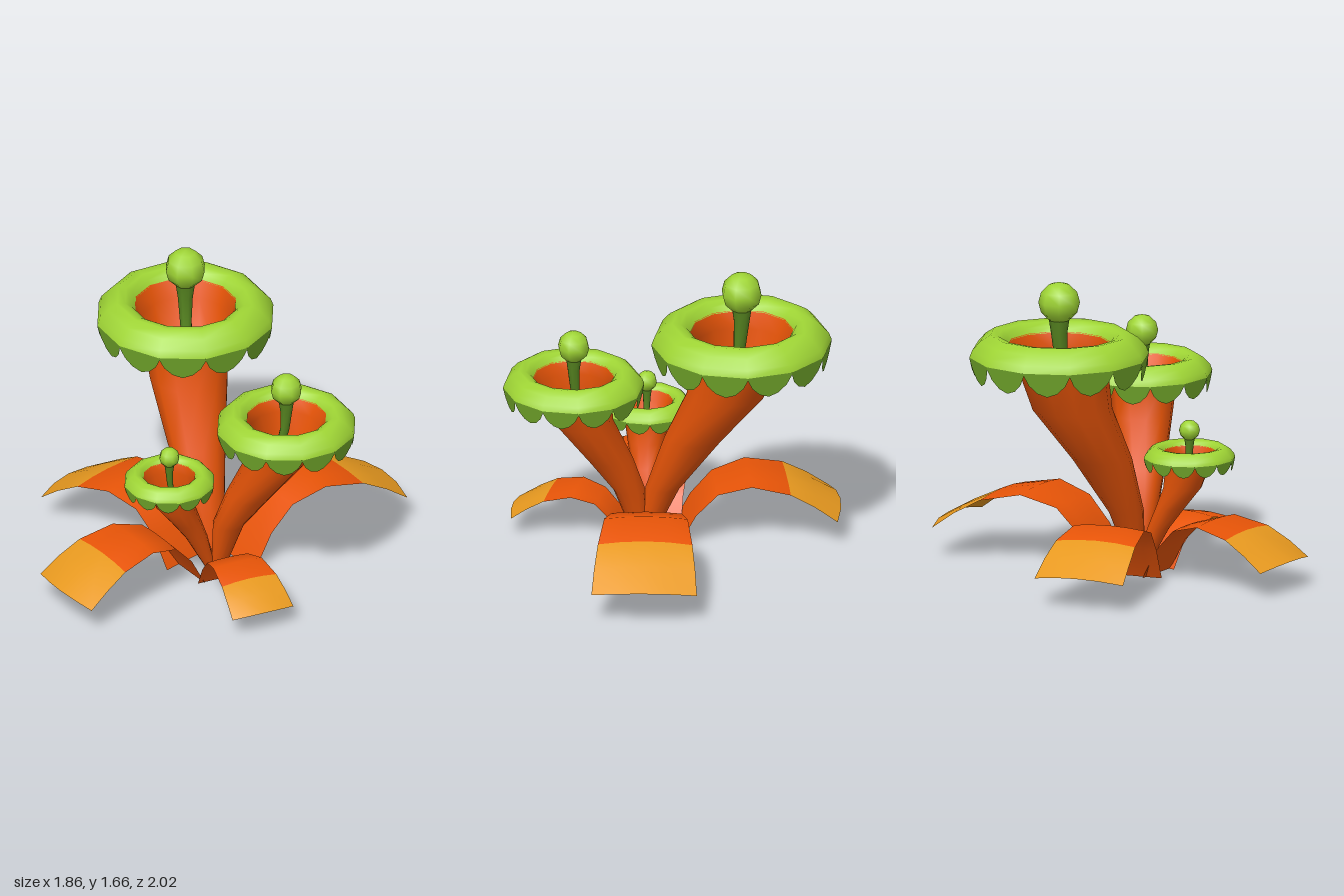
import * as THREE from 'three';

const mat = (name, color) => {
  const m = new THREE.MeshStandardMaterial({ color, side: THREE.DoubleSide });
  m.name = name;
  return m;
};

function surface(positions, index) {
  const g = new THREE.BufferGeometry();
  g.setAttribute('position', new THREE.Float32BufferAttribute(positions, 3));
  g.setIndex(index);
  g.computeVertexNormals();
  return g;
}

// Skin over level rings given as [x, y, z, radius]
function loft(rings, sides, phase = 0) {
  const pos = [], idx = [];
  rings.forEach(([x, y, z, r], j) => {
    for (let i = 0; i < sides; i++) {
      const t = phase + (i / sides) * Math.PI * 2;
      pos.push(x + r * Math.sin(t), y, z + r * Math.cos(t));
      if (j === 0) continue;
      const n = (i + 1) % sides, a = (j - 1) * sides, b = j * sides;
      idx.push(a + i, a + n, b + n, a + i, b + n, b + i);
    }
  });
  return surface(pos, idx);
}

// Scalloped hem hanging from the rim of a cap
function hem([x, y, z], R, sides, phase) {
  const pos = [], idx = [];
  const steps = [[0, 0.03], [0.1, 0.14], [0.28, 0.23], [0.5, 0.27], [0.72, 0.23], [0.9, 0.14], [1, 0.03]];
  for (let i = 0; i < sides; i++) {
    const t0 = phase + (i / sides) * Math.PI * 2, t1 = t0 + (Math.PI * 2) / sides;
    steps.forEach(([f, depth], k) => {
      const px = THREE.MathUtils.lerp(Math.sin(t0), Math.sin(t1), f) * R;
      const pz = THREE.MathUtils.lerp(Math.cos(t0), Math.cos(t1), f) * R;
      const s = 1 - depth * 0.15;
      const a = pos.length / 3;
      pos.push(x + px, y - 0.25 * R, z + pz, x + px * s, y - (0.25 + depth) * R, z + pz * s);
      if (k < steps.length - 1) idx.push(a + 1, a + 3, a + 2, a + 1, a + 2, a);
    });
  }
  return surface(pos, idx);
}

// Arching leaf: rows of [distance out, height, half width, bulge of the middle]
function leafGeometry() {
  const rows = [
    [0, 0, 0.14, 0], [0.09, 0.17, 0.146, 0], [0.2, 0.29, 0.16, 0], [0.37, 0.342, 0.19, 0],
    [0.565, 0.305, 0.215, 0], [0.69, 0.24, 0.23, 0.015], [0.8, 0.165, 0.24, 0.04],
  ];
  const across = [-1, -0.5, 0, 0.5, 1], n = across.length;
  const pos = [], idx = [];
  rows.forEach(([d, h, w, bulge], j) => {
    across.forEach((u, i) => {
      const edge = u * u * (j / (rows.length - 1));
      pos.push(u * w, h - 0.025 * edge, d + bulge * (1 - u * u));
      if (j === 0 || i === 0) return;
      const a = (j - 1) * n + i - 1, b = j * n + i - 1;
      idx.push(a, b, b + 1, a, b + 1, a + 1);
    });
  });
  const g = surface(pos, idx);
  const perRow = (n - 1) * 6;
  g.addGroup(0, perRow * 4, 0);
  g.addGroup(perRow * 4, perRow * 2, 1);
  return g;
}

export function createModel() {
  const root = new THREE.Group();
  const green = mat('lime green', 0x9fd535);
  const hemGreen = mat('leaf green', 0x70a42a);
  const darkGreen = mat('dark green', 0x568420);
  const orange = mat('burnt orange', 0xec5608);
  const gold = mat('golden leaf tip', 0xec9c20);

  const add = (parent, name, geometry, material) => {
    const m = new THREE.Mesh(geometry, material);
    m.name = name;
    parent.add(m);
    return m;
  };

  // Trumpet flowers: stem rings, cap centre, cap radius, knob height
  const flowers = [
    {
      name: 'tallFlower', top: [-0.247, 1.38, -0.322], R: 0.485, knobY: 1.55, knobR: 0.112,
      stem: [[0.12, 0, 0.1, 0.035], [0.04, 0.33, 0.04, 0.095], [-0.08, 0.65, -0.09, 0.16],
        [-0.195, 0.95, -0.25, 0.215], [-0.24, 1.23, -0.312, 0.248], [-0.247, 1.325, -0.322, 0.279]],
    },
    {
      name: 'middleFlower', top: [0.538, 1.083, 0.122], R: 0.38, knobY: 1.217, knobR: 0.087,
      stem: [[0.13, 0, 0.11, 0.035], [0.2, 0.31, 0.125, 0.085], [0.32, 0.52, 0.125, 0.125],
        [0.48, 0.77, 0.125, 0.163], [0.53, 0.97, 0.124, 0.19], [0.538, 1.04, 0.122, 0.219]],
    },
    {
      name: 'smallFlower', top: [-0.035, 0.71, 0.377], R: 0.247, knobY: 0.798, knobR: 0.056,
      stem: [[0.1, 0, 0.12, 0.025], [0.05, 0.24, 0.21, 0.06], [0.02, 0.36, 0.275, 0.08],
        [-0.015, 0.48, 0.34, 0.104], [-0.032, 0.63, 0.374, 0.125], [-0.035, 0.682, 0.377, 0.142]],
    },
  ];
  const capProfile = [[1, -0.25], [0.97, -0.17], [0.88, -0.07], [0.77, 0], [0.68, -0.015], [0.61, -0.06], [0.57, -0.125]];
  const phase = 0.12, sides = 12;

  for (const { name, top, R, knobY, knobR, stem } of flowers) {
    const flower = new THREE.Group();
    flower.name = name;
    root.add(flower);
    const [x, y, z] = top;
    add(flower, 'stem', loft(stem, sides, phase), orange);
    add(flower, 'cap', loft(capProfile.map(([r, h]) => [x, y + h * R, z, r * R]), sides, phase), green);
    add(flower, 'scallopedHem', hem(top, R, sides, phase), hemGreen);
    // Pistil follows the stem and flares into the knob
    const pistil = [2, 3, 4].map((i, k) => [...stem[i].slice(0, 3), knobR * (0.16 + 0.07 * k)]);
    pistil.push([x, y, z, knobR * 0.39], [x, knobY - knobR * 0.8, z, knobR * 0.5]);
    add(flower, 'pistil', loft(pistil, 8), darkGreen);
    add(flower, 'knob', new THREE.SphereGeometry(knobR, 8, 6), green).position.set(x, knobY, z);
  }

  // Leaves: base x, base z, direction x, direction z, size
  const leaf = leafGeometry();
  const leaves = [
    ['backLeaf', 0.175, -0.04, 0.475, -0.88, 1.18],
    ['frontLeaf', 0.01, 0.2, -0.53, 0.85, 1.01],
    ['rightLeaf', -0.06, 0.09, -0.93, -0.36, 1.06],
    ['leftLeaf', 0.165, 0.215, 0.75, 0.66, 0.75],
  ];
  for (const [name, x, z, dx, dz, size] of leaves) {
    const m = add(root, name, leaf, [orange, gold]);
    m.position.set(x, 0, z);
    m.rotation.y = Math.atan2(dx, dz);
    m.scale.setScalar(size);
  }
  return root;
}
